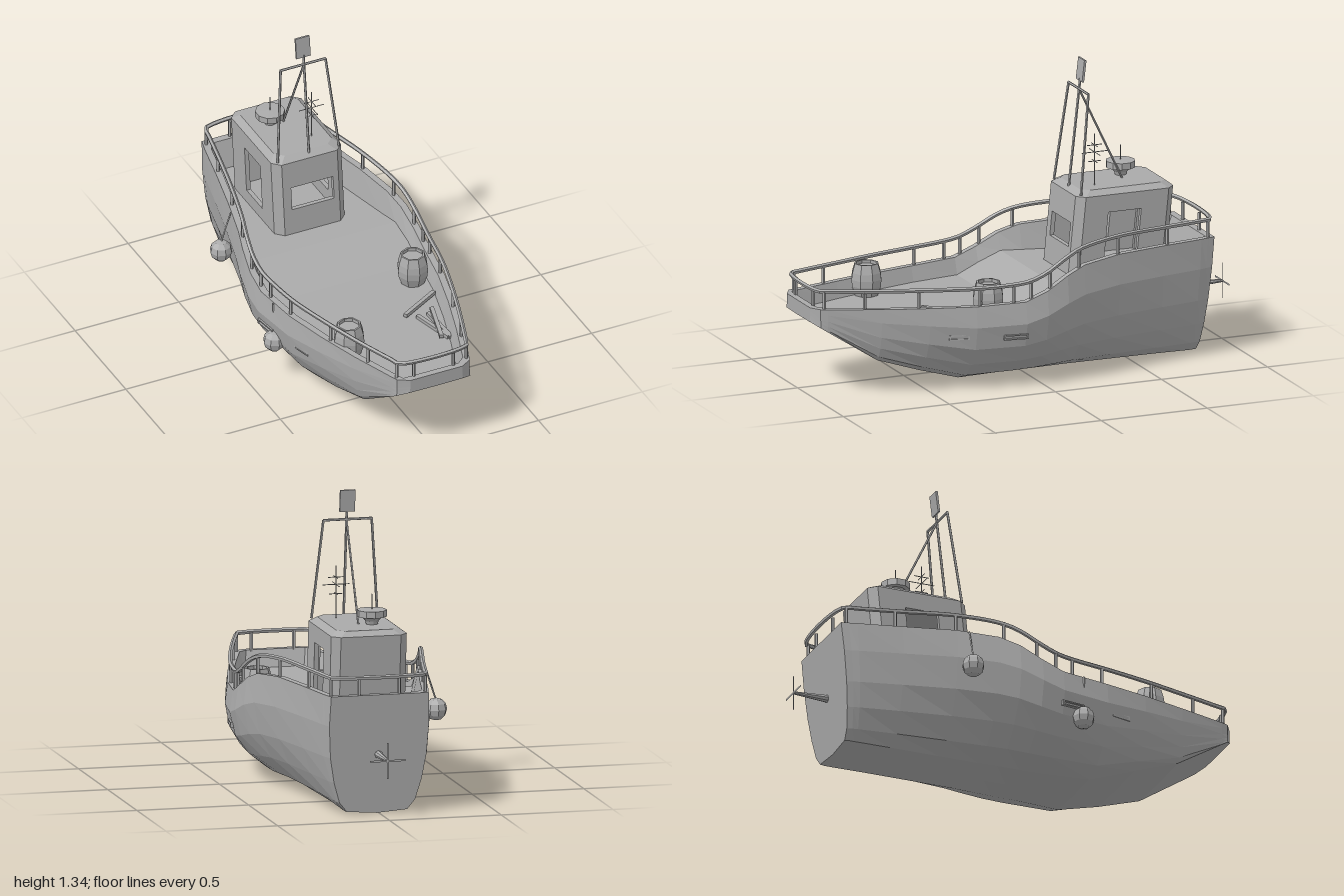
import * as THREE from 'three';

const grey = new THREE.MeshStandardMaterial({ color: 0xaaaaaa, flatShading: true, side: THREE.DoubleSide });
grey.name = 'grey';
const V = (x, y, z) => new THREE.Vector3(x, y, z);
const CX = 0.008; // centreline of the boat

// Hull stations from bow to stern: z, half width at top, top y, bottom y, half width of bottom, deck y
const STATIONS = [
  [1.0, 0.125, 0.405, 0.34, 0.13, 0.405],
  [0.97, 0.175, 0.405, 0.32, 0.178, 0.405],
  [0.94, 0.187, 0.405, 0.3, 0.185, 0.33],
  [0.72, 0.262, 0.4, 0.155, 0.21, 0.33],
  [0.52, 0.322, 0.398, 0.085, 0.2, 0.33],
  [0.32, 0.372, 0.396, 0.02, 0.17, 0.33],
  [0.1, 0.405, 0.402, 0.018, 0.15, 0.33],
  [0.0, 0.408, 0.44, 0.016, 0.147, 0.375],
  [-0.1, 0.395, 0.495, 0.015, 0.145, 0.42],
  [-0.19, 0.372, 0.528, 0.014, 0.14, 0.42],
  [-0.37, 0.33, 0.545, 0.013, 0.14, 0.42],
  [-0.6, 0.277, 0.543, 0.012, 0.14, 0.42],
  [-0.8, 0.235, 0.54, 0.01, 0.14, 0.42],
  [-0.835, 0.226, 0.54, 0.01, 0.14, 0.54],
  [-0.868, 0.218, 0.54, 0.01, 0.135, 0.54],
];
// Side profile, as fractions from bottom corner to top edge
const PROFILE = [[1, 1], [1.06, 0.75], [0.96, 0.48], [0.73, 0.27], [0.41, 0.1], [0, 0.02]];

// Half width and height of the hull's top edge at z
function sheer(z) {
  let i = 0;
  while (i < STATIONS.length - 2 && STATIONS[i + 1][0] > z) i++;
  const a = STATIONS[i], b = STATIONS[i + 1], t = (a[0] - z) / (a[0] - b[0]);
  return [a[1] + (b[1] - a[1]) * t, a[2] + (b[2] - a[2]) * t];
}

// Closed rings of equal length joined by faces, with both ends capped
function loft(rings) {
  const pos = [], n = rings[0].length;
  const tri = (a, b, c) => pos.push(...a.toArray(), ...b.toArray(), ...c.toArray());
  for (let i = 0; i + 1 < rings.length; i++)
    for (let j = 0; j < n; j++) {
      const k = (j + 1) % n, A = rings[i], B = rings[i + 1];
      tri(A[j], A[k], B[k]);
      tri(A[j], B[k], B[j]);
    }
  [rings[0], rings[rings.length - 1]].forEach((r, end) => {
    const c = r.reduce((s, p) => s.add(p), V(0, 0, 0)).divideScalar(n);
    for (let j = 0; j < n; j++) {
      const k = (j + 1) % n;
      end ? tri(c, r[j], r[k]) : tri(c, r[k], r[j]);
    }
  });
  // Turn the faces outwards
  let vol = 0;
  for (let i = 0; i < pos.length; i += 9) {
    const [a, b, c] = [0, 3, 6].map(o => V(pos[i + o], pos[i + o + 1], pos[i + o + 2]));
    vol += a.dot(b.cross(c));
  }
  if (vol < 0)
    for (let i = 0; i < pos.length; i += 9)
      for (let k = 0; k < 3; k++) [pos[i + 3 + k], pos[i + 6 + k]] = [pos[i + 6 + k], pos[i + 3 + k]];
  const g = new THREE.BufferGeometry();
  g.setAttribute('position', new THREE.Float32BufferAttribute(pos, 3));
  g.computeVertexNormals();
  return g;
}

function rectangle(x0, y0, x1, y1, C = THREE.Shape) {
  return new C([[x0, y0], [x1, y0], [x1, y1], [x0, y1]].map(p => new THREE.Vector2(...p)));
}

export function createModel() {
  const boat = new THREE.Group();
  boat.name = 'fishingBoat';
  const add = (name, geo, x = 0, y = 0, z = 0, parent = boat) => {
    const m = new THREE.Mesh(geo, grey);
    m.name = name;
    m.position.set(x, y, z);
    parent.add(m);
    return m;
  };
  const rod = (name, a, b, r, sides = 5, r2 = r) => {
    const d = b.clone().sub(a), mid = a.clone().add(b).multiplyScalar(0.5);
    const m = add(name, new THREE.CylinderGeometry(r2, r, d.length(), sides), mid.x, mid.y, mid.z);
    m.quaternion.setFromUnitVectors(V(0, 1, 0), d.normalize());
    return m;
  };

  // Hull with bulwark and stepped deck
  add('hull', loft(STATIONS.map(([z, w, yt, yb, b, deck]) => {
    const pt = (x, y) => V(CX + x, y, z + (z < -0.7 ? (yt - y) * 0.1 * (-0.7 - z) / 0.168 : 0));
    const side = PROFILE.map(([u, v]) => [b + (w - b) * u, yb + (yt - yb) * v]);
    const half = [[w - 0.055, deck], [w - 0.03, yt], ...side];
    return [...half.map(p => pt(...p)), pt(0, yb), ...half.reverse().map(([x, y]) => pt(-x, y))];
  })));

  // Railing
  const railZ = [0.965, 0.93, 0.72, 0.52, 0.32, 0.16, 0.08, 0, -0.1, -0.18, -0.37, -0.6, -0.8, -0.85];
  const railPt = (z, s) => {
    const [w, y] = sheer(z);
    return V(CX + s * (w - 0.015), y + 0.078, z);
  };
  const path = [...railZ.map(z => railPt(z, 1)), ...railZ.slice().reverse().map(z => railPt(z, -1))];
  add('rail', new THREE.TubeGeometry(new THREE.CatmullRomCurve3(path, true, 'centripetal'), 120, 0.01, 5, true));
  const post = p => rod('railPost', V(p.x, p.y - 0.085, p.z), p, 0.008);
  for (const s of [1, -1]) {
    for (const z of [0.95, 0.785, 0.56, 0.3, 0.15, 0.07, -0.02, -0.165, -0.37, -0.63, -0.84]) post(railPt(z, s));
    post(V(CX + s * 0.095, 0.483, 0.972));
    post(V(CX + s * 0.09, 0.618, -0.852));
  }

  // Wheelhouse: upright walls, then leaned aft
  const house = new THREE.Group();
  house.name = 'wheelhouse';
  boat.add(house);
  const lean = g => {
    const p = g.attributes.position;
    for (let i = 0; i < p.count; i++) p.setZ(i, p.getZ(i) - 0.1 * (p.getY(i) - 0.42));
    g.computeVertexNormals();
    return g;
  };
  const wall = (x0, x1, hole) => {
    const s = rectangle(x0, 0.4, x1, 0.765);
    if (hole) s.holes.push(rectangle(...hole, THREE.Path));
    return new THREE.ExtrudeGeometry(s, { depth: 0.02, bevelEnabled: false });
  };
  const F = -0.215, R = -0.675, W = 0.169, C = 0.035;
  add('frontWall', lean(wall(C - W, W - C, [-0.094, 0.538, 0.108, 0.645]).translate(0, 0, F - 0.02)), 0.007, 0, 0, house);
  add('backWall', lean(wall(C - W, W - C).translate(0, 0, R)), 0.007, 0, 0, house);
  for (const s of [1, -1]) {
    const g = wall(-(F - C), -(R + C), [0.363, 0.48, 0.518, 0.69]).rotateY(Math.PI / 2);
    add('sideWall', lean(g.translate(s > 0 ? W - 0.02 : -W, 0, 0)), 0.007, 0, 0, house);
    for (const [z, d] of [[F, -C], [R, C]]) {
      const ring = y => [V(s * (W - C), y, z), V(s * W, y, z + d), V(s * (W - C), y, z + d)];
      add('cornerWall', lean(loft([ring(0.4), ring(0.765)])), 0.007, 0, 0, house);
    }
  }
  const roofRing = (y, i) => {
    const w = W - i, f = F - i, r = R + i;
    return [[w - C, f], [w, f - C], [w, r + C], [w - C, r], [C - w, r], [-w, r + C], [-w, f - C], [C - w, f]]
      .map(([x, z]) => V(x, y, z));
  };
  add('roof', lean(loft([roofRing(0.755, 0), roofRing(0.768, 0), roofRing(0.79, 0.03)])), 0.007, 0, 0, house);

  // Mast frame with sign plate
  const top = V(0.015, 1.213, -0.32);
  rod('mastLeg', V(-0.137, 0.775, -0.268), V(-0.098, 1.213, -0.32), 0.006);
  rod('mastLeg', V(0.158, 0.775, -0.268), V(0.118, 1.213, -0.32), 0.006);
  rod('mastCrossbar', V(-0.1, 1.213, -0.32), V(0.12, 1.213, -0.32), 0.006);
  rod('mastPole', V(0.015, 0.78, -0.272), V(0.015, 1.26, -0.326), 0.006);
  rod('mastBrace', V(0.015, 0.785, -0.525), top, 0.005);
  add('mastPlate', new THREE.BoxGeometry(0.068, 0.097, 0.01), 0.014, 1.297, -0.331).rotation.x = -0.12;

  // Aerial with cross rods
  const ax = 0.075, az = -0.368;
  rod('aerial', V(ax, 0.78, az), V(ax, 1.02, az), 0.0025, 4);
  for (const [y, l] of [[0.97, 0.035], [0.938, 0.06], [0.897, 0.03]]) {
    rod('aerialRod', V(ax - l, y, az), V(ax + l, y, az), 0.002, 4);
    rod('aerialRod', V(ax, y, az - l), V(ax, y, az + l), 0.002, 4);
  }

  // Radar drum
  const drum = [[0, 0.785], [0.024, 0.785], [0.03, 0.805], [0.045, 0.822], [0.065, 0.824], [0.065, 0.853], [0, 0.856]];
  add('radar', new THREE.LatheGeometry(drum.map(p => new THREE.Vector2(...p)), 10), -0.041, 0, -0.54);
  rod('radarWhip', V(-0.041, 0.85, -0.54), V(-0.041, 0.922, -0.54), 0.002, 4);

  // Barrels with sunken lids
  const stave = [[0, 0], [0.052, 0], [0.068, 0.045], [0.07, 0.075], [0.066, 0.105], [0.054, 0.145], [0.046, 0.145], [0.046, 0.13], [0, 0.13]];
  for (const [x, z] of [[0.275, 0.22], [-0.21, 0.585]])
    add('barrel', new THREE.LatheGeometry(stave.map(p => new THREE.Vector2(...p)), 8), x, 0.328, z);

  // Loose planks on the foredeck: x, y, z, length, turn, tilt
  for (const [x, y, z, l, turn, tilt] of [
    [0.215, 0.345, 0.41, 0.22, 2.09, 0], [0.195, 0.34, 0.585, 0.21, 0.25, 0],
    [0.212, 0.356, 0.585, 0.21, -0.25, 0.04], [0.225, 0.34, 0.59, 0.21, 0.04, 0],
  ]) add('plank', new THREE.BoxGeometry(0.018, 0.016, l), x, y, z).rotation.set(tilt, turn, 0, 'YXZ');

  // Fenders hung on ropes along one side
  for (const [x, y, z] of [[-0.382, 0.205, 0.2], [-0.385, 0.358, -0.32]]) {
    const [w, yt] = sheer(z);
    add('fender', new THREE.SphereGeometry(0.05, 8, 6), x, y, z);
    rod('fenderRope', V(x, y + 0.04, z), V(CX - w - 0.005, yt, z), 0.004, 4);
  }

  // Hawse slots in the sides
  for (const s of [1, -1])
    for (const [x, y, z, l, yaw] of [[0.343, 0.262, 0.39, 0.09, 0.24], [0.396, 0.25, 0.145, 0.11, 0.15]]) {
      const shape = rectangle(-l / 2, -0.011, l / 2, 0.011);
      shape.holes.push(rectangle(-l / 2 + 0.007, -0.006, l / 2 - 0.007, 0.006, THREE.Path));
      const g = new THREE.ExtrudeGeometry(shape, { depth: 0.03, bevelEnabled: false }).translate(0, 0, -0.015);
      add('hawseSlot', g, CX + s * x, y, z).rotation.y = s * (Math.PI / 2 - yaw);
    }

  // Propeller shaft and flat blades
  rod('propellerShaft', V(0.008, 0.272, -0.83), V(0.008, 0.272, -1), 0.018, 8, 0.007);
  add('propellerBlade', new THREE.PlaneGeometry(0.16, 0.008), 0.008, 0.272, -0.999);
  add('propellerBlade', new THREE.PlaneGeometry(0.008, 0.16), 0.008, 0.272, -0.999);

  return boat;
}
